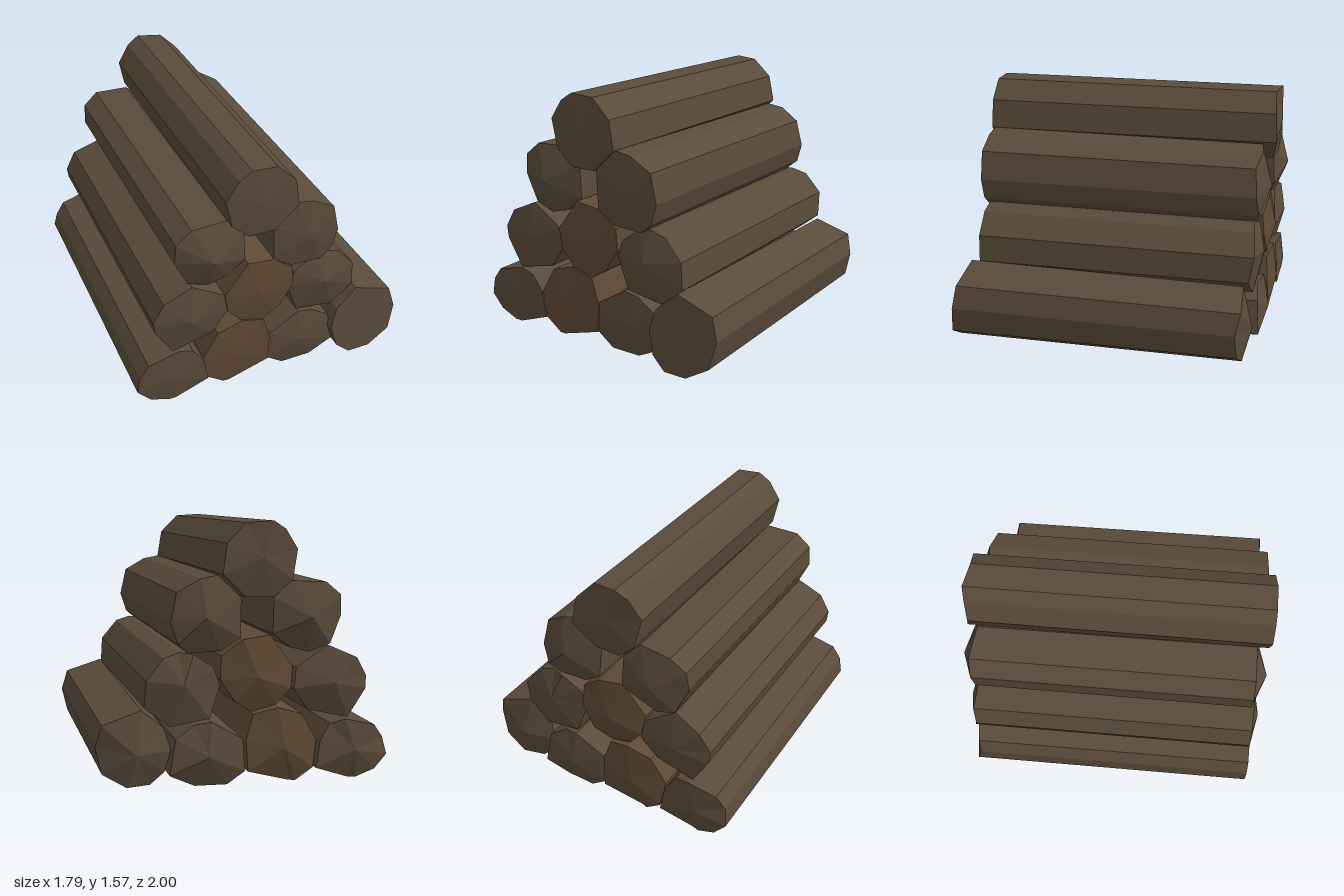
import * as THREE from 'three';

// One rough log: an uneven cross-section swept along z, closed by faceted, bulging ends.
// profile: x, y pairs clockwise seen from the front; rim and hub depths for each end.
function makeLog({ name, profile, front, back, color = 0x5a4b3a, taper = 0.97, tilt = 0 }) {
  const pts = [];
  for (let i = profile.length - 2; i >= 0; i -= 2) pts.push([profile[i], profile[i + 1]]);
  const n = pts.length;
  const cx = pts.reduce((s, p) => s + p[0], 0) / n;
  const cy = pts.reduce((s, p) => s + p[1], 0) / n;
  const [frontRim, frontHub] = front;
  const [backRim, backHub] = back;

  const pos = [];
  // front ring, with an optional lean of the cut
  for (const [x, y] of pts) pos.push(x, y, frontRim - tilt * (y - cy));
  // back ring, slightly thinner and with a ragged cut
  pts.forEach(([x, y], i) => {
    pos.push(cx + (x - cx) * taper, cy + (y - cy) * taper, backRim + (i % 3) * 0.015);
  });
  pos.push(cx, cy, frontHub, cx, cy, backHub);

  const index = [];
  for (let i = 0; i < n; i++) {
    const j = (i + 1) % n;
    index.push(i, n + i, j, j, n + i, n + j); // bark
    index.push(2 * n, i, j); // front end
    index.push(2 * n + 1, n + j, n + i); // back end
  }
  const geo = new THREE.BufferGeometry();
  geo.setAttribute('position', new THREE.Float32BufferAttribute(pos, 3));
  geo.setIndex(index);
  const flat = geo.toNonIndexed();
  flat.computeVertexNormals();
  const mesh = new THREE.Mesh(flat, new THREE.MeshStandardMaterial({ color, flatShading: true }));
  mesh.name = name;
  return mesh;
}

export function createModel() {
  const group = new THREE.Group();
  group.name = 'logPile';
  const add = (options) => group.add(makeLog(options));
  const warm = 0x5f4a34;

  // top log
  add({
    name: 'topLog', front: [0.93, 0.95], back: [-0.96, -0.97], taper: 0.98,
    profile: [-0.32, 1.4, -0.24, 1.52, -0.16, 1.57, 0, 1.56, 0.12, 1.44, 0.15, 1.26, 0, 1.12, -0.17, 1.12, -0.28, 1.22],
  });

  // second layer
  add({
    name: 'upperRightLog', front: [0.86, 0.95], back: [-0.93, -1],
    profile: [-0.61, 1, -0.6, 1.13, -0.5, 1.21, -0.28, 1.22, -0.17, 1.12, -0.16, 0.9, -0.28, 0.81, -0.4, 0.78, -0.53, 0.83],
  });
  add({
    name: 'upperLeftLog', front: [0.91, 0.95], back: [-0.89, -0.95],
    profile: [0, 1.12, 0.15, 1.26, 0.26, 1.24, 0.4, 1.16, 0.44, 0.98, 0.4, 0.85, 0.33, 0.79, 0.13, 0.8, 0.01, 0.88],
  });

  // third layer
  add({
    name: 'lowerRightLog', front: [0.9, 0.95], back: [-0.94, -0.98],
    profile: [-0.77, 0.63, -0.7, 0.75, -0.52, 0.83, -0.31, 0.7, -0.29, 0.57, -0.39, 0.43, -0.65, 0.37, -0.76, 0.55],
  });
  add({
    name: 'lowerMiddleLog', front: [0.91, 0.94], back: [-0.92, -0.96], color: warm, taper: 0.98,
    profile: [-0.31, 0.7, -0.16, 0.9, 0.01, 0.88, 0.14, 0.78, 0.15, 0.64, 0.06, 0.5, -0.05, 0.43, -0.2, 0.47, -0.29, 0.57],
  });
  add({
    name: 'lowerLeftLog', front: [0.88, 0.95], back: [-0.89, -0.93],
    profile: [0.13, 0.6, 0.17, 0.71, 0.3, 0.8, 0.38, 0.81, 0.48, 0.78, 0.59, 0.65, 0.6, 0.48, 0.45, 0.36, 0.2, 0.4],
  });

  // bottom layer
  add({
    name: 'bottomOuterRightLog', front: [0.93, 0.95], back: [-0.96, -0.98],
    profile: [-0.9, 0.14, -0.88, 0.25, -0.82, 0.33, -0.62, 0.38, -0.53, 0.35, -0.46, 0.25, -0.43, 0.08, -0.65, 0, -0.7, 0, -0.82, 0.05],
  });
  add({
    name: 'bottomInnerRightLog', front: [0.92, 0.94], back: [-0.94, -0.97], color: warm,
    profile: [-0.46, 0.25, -0.36, 0.42, -0.2, 0.47, -0.05, 0.43, 0, 0.27, -0.01, 0.08, -0.28, 0, -0.32, 0, -0.43, 0.08],
  });
  add({
    name: 'bottomInnerLeftLog', front: [0.91, 0.95], back: [-0.92, -0.96],
    profile: [0, 0.28, 0.2, 0.4, 0.3, 0.38, 0.42, 0.3, 0.46, 0.08, 0.3, 0, 0.1, 0, -0.01, 0.08],
  });
  add({
    name: 'bottomOuterLeftLog', front: [0.97, 0.97], back: [-0.85, -0.9], taper: 0.95, tilt: 0.13,
    profile: [0.46, 0.36, 0.6, 0.48, 0.85, 0.4, 0.89, 0.26, 0.85, 0.09, 0.7, 0, 0.55, 0, 0.46, 0.08, 0.42, 0.22],
  });

  return group;
}
